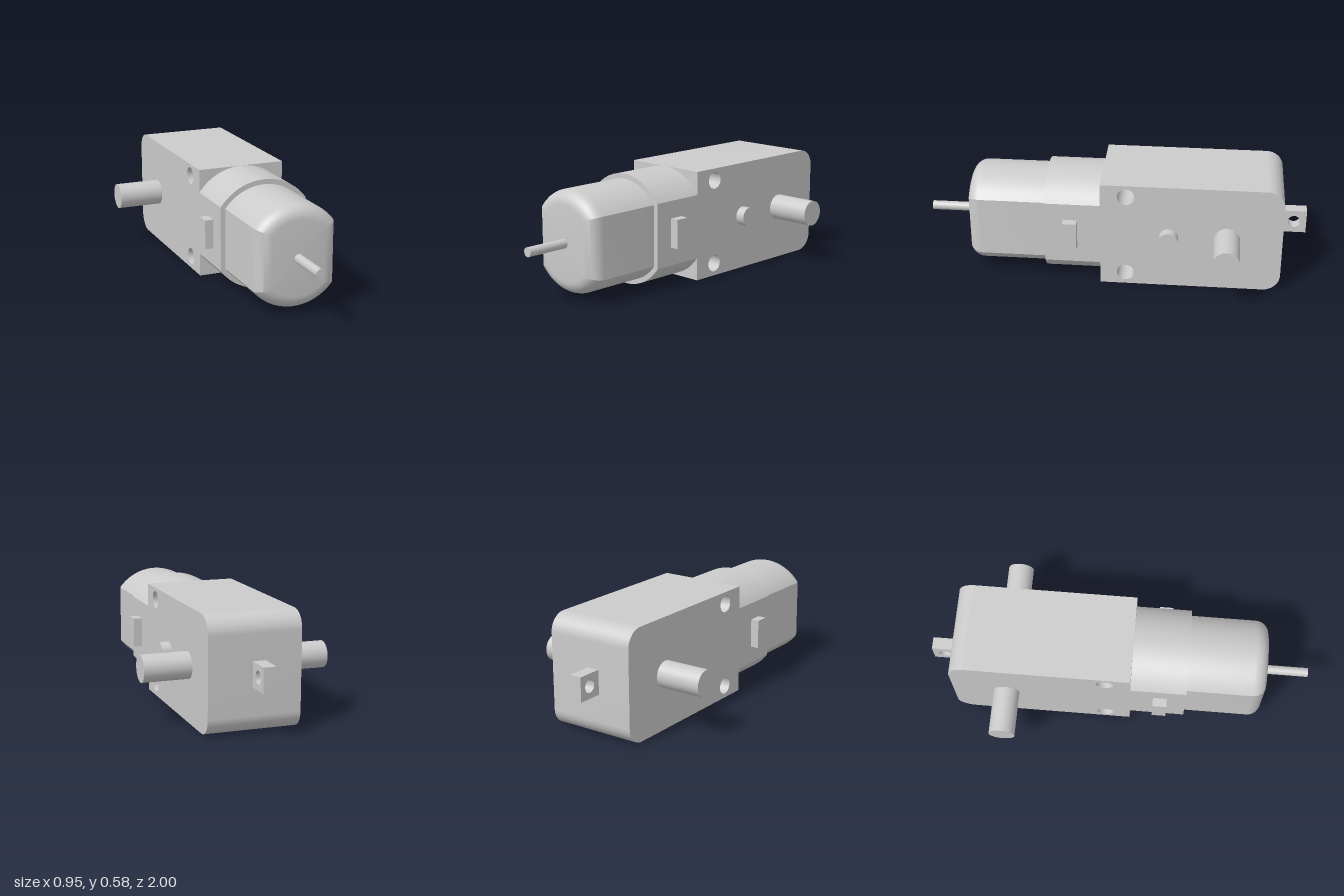
import * as THREE from 'three';
import { toCreasedNormals } from 'three/addons/utils/BufferGeometryUtils.js';

const MID = 0.289; // height of the motor axis
const material = new THREE.MeshStandardMaterial({ color: 0xcccccc });

export function createModel() {
  const model = new THREE.Group();
  const add = (name, geometry, x = 0, y = MID, z = 0) => {
    const mesh = new THREE.Mesh(geometry, material);
    mesh.name = name;
    mesh.position.set(x, y, z);
    model.add(mesh);
    return mesh;
  };

  // Profile drawn in (z, y), extruded across x and centred
  const extrudeAcross = (shape, width) => {
    const g = new THREE.ExtrudeGeometry(shape, { depth: width, bevelEnabled: false, curveSegments: 12 });
    g.translate(0, 0, -width / 2).rotateY(-Math.PI / 2);
    return toCreasedNormals(g, 0.4);
  };
  const hole = (z, y, r) => new THREE.Path().absarc(z, y, r, 0, Math.PI * 2, true);

  // Circle of radius r with its sides cut flat at x = +-w
  const section = (r, w, z, n = 32) => {
    const start = Math.acos(w / r), points = [];
    for (const turn of [0, Math.PI]) {
      for (let i = 0; i <= n; i++) {
        const a = turn + start + (Math.PI - 2 * start) * i / n;
        points.push([r * Math.cos(a), r * Math.sin(a), z]);
      }
    }
    return points;
  };

  // Closed solid through a row of sections running towards +z
  const loft = (rings) => {
    const pos = [], count = rings[0].length, last = rings.length - 1;
    const tri = (...corners) => corners.forEach((p) => pos.push(...p));
    for (let j = 0; j < count; j++) {
      const k = (j + 1) % count;
      for (let i = 0; i < last; i++) {
        const a = rings[i][j], b = rings[i][k], c = rings[i + 1][k], d = rings[i + 1][j];
        tri(a, b, c);
        tri(a, c, d);
      }
      tri([0, 0, rings[0][0][2]], rings[0][k], rings[0][j]);
      tri([0, 0, rings[last][0][2]], rings[last][j], rings[last][k]);
    }
    const g = new THREE.BufferGeometry();
    g.setAttribute('position', new THREE.Float32BufferAttribute(pos, 3));
    return toCreasedNormals(g, 0.4);
  };

  // Gearbox with rounded rear corners and two screw holes
  const H = 0.578, back = -0.87, front = 0.07, R = 0.09;
  const box = new THREE.Shape();
  box.moveTo(front, 0);
  box.lineTo(front, H);
  box.lineTo(back + R, H);
  box.absarc(back + R, H - R, R, Math.PI / 2, Math.PI, false);
  box.absarc(back + R, R, R, Math.PI, Math.PI * 1.5, false);
  box.closePath();
  box.holes.push(hole(-0.062, 0.067, 0.045), hole(-0.062, 0.515, 0.045));
  add('gearbox', extrudeAcross(box, 0.47), 0, 0);

  // Collar and motor can with a rounded front edge
  add('collar', loft([section(0.289, 0.235, 0.07), section(0.289, 0.235, 0.36)]));
  const fillet = 0.07, tip = 0.77, rings = [section(0.263, 0.21, 0.36)];
  for (let i = 0; i <= 8; i++) {
    const a = Math.PI / 2 * i / 8, inset = fillet * (1 - Math.cos(a));
    rings.push(section(0.263 - inset, 0.21 - inset, tip - fillet + fillet * Math.sin(a)));
  }
  add('motorCan', loft(rings));

  // Motor shaft
  add('motorShaft', new THREE.CylinderGeometry(0.024, 0.024, 0.25, 24).rotateX(Math.PI / 2), 0, MID, 0.875);

  // Output axles, side clips
  for (const [side, s] of [['left', 1], ['right', -1]]) {
    add(side + 'Axle', new THREE.CylinderGeometry(0.068, 0.068, 0.255, 40).rotateZ(Math.PI / 2), s * 0.3475, MID, -0.585);
    add(side + 'Clip', new THREE.BoxGeometry(0.06, 0.153, 0.073), s * 0.25, 0.29, 0.226);
  }

  // Locating peg on the left side only
  add('locatingPeg', new THREE.CylinderGeometry(0.05, 0.05, 0.065, 32).rotateZ(Math.PI / 2), 0.2525, MID, -0.285);

  // Rear mounting tab with a cross hole
  const tab = new THREE.Shape();
  tab.moveTo(back, -0.063);
  tab.lineTo(back, 0.063);
  tab.lineTo(-1, 0.063);
  tab.lineTo(-1, -0.063);
  tab.closePath();
  tab.holes.push(hole(-0.936, 0, 0.033));
  add('mountingTab', extrudeAcross(tab, 0.064), -0.02, 0.292);

  return model;
}
